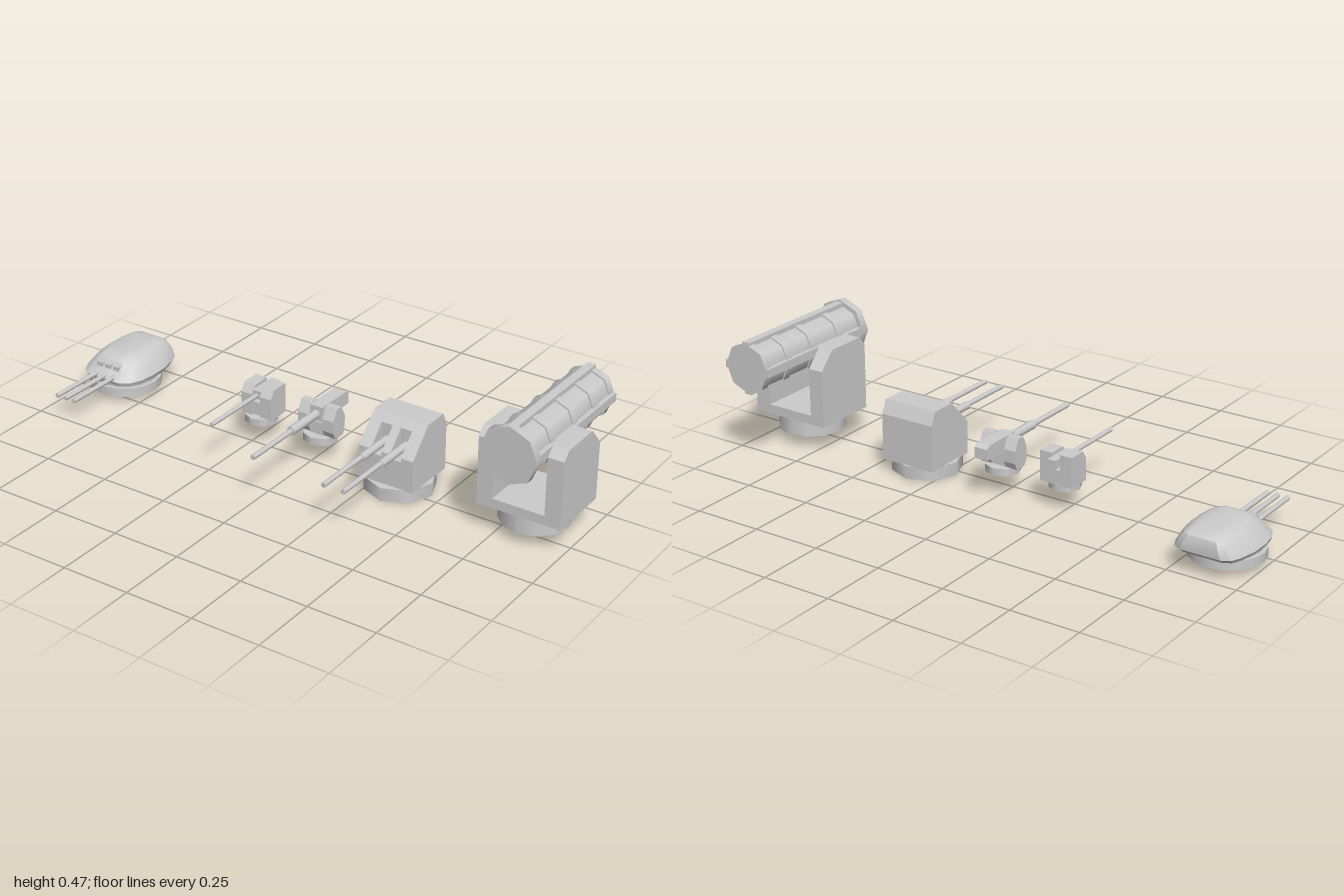
import * as THREE from 'three';
import { toCreasedNormals } from 'three/addons/utils/BufferGeometryUtils.js';

const grey = new THREE.MeshStandardMaterial({ color: 0xcccccc });

function add(group, name, geometry) {
  const mesh = new THREE.Mesh(geometry, grey);
  mesh.name = name;
  group.add(mesh);
  return mesh;
}

// Box given by its limits on each axis
function box(group, name, x0, x1, y0, y1, z0, z1) {
  const m = add(group, name, new THREE.BoxGeometry(x1 - x0, y1 - y0, z1 - z0));
  m.position.set((x0 + x1) / 2, (y0 + y1) / 2, (z0 + z1) / 2);
  return m;
}

// Upright drum
function drum(group, name, r, y0, y1, z, sides) {
  const m = add(group, name, new THREE.CylinderGeometry(r, r, y1 - y0, sides));
  m.position.set(0, (y0 + y1) / 2, z);
  return m;
}

// Cylinder lying along z
function rod(group, name, r, x, y, z0, z1, sides = 10) {
  const g = new THREE.CylinderGeometry(r, r, z1 - z0, sides).rotateX(Math.PI / 2);
  const m = add(group, name, g);
  m.position.set(x, y, (z0 + z1) / 2);
  return m;
}

// Side profile of [z, y] points, extruded from x0 to x1
function slab(group, name, profile, x0, x1) {
  const shape = new THREE.Shape(profile.map(([z, y]) => new THREE.Vector2(-z, y)));
  const g = new THREE.ExtrudeGeometry(shape, { depth: x1 - x0, bevelEnabled: false });
  const m = add(group, name, g.rotateY(Math.PI / 2));
  m.position.x = x0;
  return m;
}

// Stacked plan outlines: each layer is [y, half width, front z, back z]
function hull(layers) {
  // half outline: share of the width, and share of the way from front to back
  const half = [[0.55, 0], [0.8, 0.08], [0.95, 0.22], [1, 0.4], [0.99, 0.62], [0.88, 0.84], [0.76, 0.95], [0.55, 1]];
  const outline = [...half, ...half.map(([x, t]) => [-x, t]).reverse()];
  const n = outline.length, pos = [], index = [];
  for (const [y, w, f, b] of layers)
    for (const [x, t] of outline) pos.push(x * w, y, f + (b - f) * t);
  for (let l = 0; l < layers.length - 1; l++)
    for (let i = 0; i < n; i++) {
      const a = l * n + i, c = l * n + (i + 1) % n;
      index.push(a, c, c + n, a, c + n, a + n);
    }
  const top = (layers.length - 1) * n;
  for (let i = 1; i < n - 1; i++) {
    index.push(top, top + i, top + i + 1);
    index.push(0, i + 1, i);
  }
  const g = new THREE.BufferGeometry();
  g.setAttribute('position', new THREE.Float32BufferAttribute(pos, 3));
  g.setIndex(index);
  return toCreasedNormals(g, 0.5);
}

// Low rounded turret with three barrels
function tripleTurret() {
  const t = new THREE.Group();
  drum(t, 'baseRing', 0.13, 0.022, 0.055, -0.075, 16);
  drum(t, 'neckRing', 0.117, 0.055, 0.072, -0.075, 16);
  add(t, 'armouredHouse', hull([
    [0.07, 0.125, 0.048, -0.235],
    [0.085, 0.131, 0.053, -0.252],
    [0.115, 0.112, 0.025, -0.253],
    [0.138, 0.092, 0.003, -0.245],
    [0.151, 0.075, -0.015, -0.225],
    [0.158, 0.058, -0.035, -0.19],
  ]));
  for (const x of [-0.037, 0, 0.037]) {
    box(t, 'gunPort', x - 0.013, x + 0.013, 0.083, 0.13, -0.04, 0.026);
    rod(t, 'barrel', 0.0085, x, 0.094, 0, 0.262);
  }
  return t;
}

// Small single gun between two blocks
function lightMount() {
  const t = new THREE.Group();
  drum(t, 'base', 0.057, 0.075, 0.102, -0.032, 8);
  const cheek = [[-0.09, 0.1], [-0.002, 0.1], [-0.002, 0.18], [-0.022, 0.21], [-0.09, 0.21]];
  slab(t, 'leftCheek', cheek, 0.016, 0.062);
  slab(t, 'rightCheek', cheek, -0.062, -0.016);
  box(t, 'cradle', -0.016, 0.016, 0.1, 0.15, -0.085, -0.01);
  box(t, 'breech', -0.016, 0.016, 0.167, 0.198, -0.117, -0.005);
  rod(t, 'barrel', 0.008, 0, 0.18, -0.01, 0.252);
  return t;
}

// Single gun with a long breech and faceted cheeks
function mediumMount() {
  const t = new THREE.Group();
  drum(t, 'base', 0.062, 0.075, 0.102, -0.04, 8);
  const cheek = [[-0.065, 0.1], [-0.02, 0.1], [-0.008, 0.125], [-0.008, 0.17],
    [-0.028, 0.21], [-0.055, 0.21], [-0.076, 0.17], [-0.076, 0.125]];
  slab(t, 'leftCheek', cheek, 0.028, 0.073);
  slab(t, 'rightCheek', cheek, -0.073, -0.028);
  box(t, 'pedestal', -0.028, 0.028, 0.1, 0.148, -0.065, -0.015);
  const breech = [[-0.172, 0.16], [-0.01, 0.155], [-0.01, 0.21], [-0.155, 0.21], [-0.172, 0.2]];
  slab(t, 'breech', breech, -0.025, 0.025);
  rod(t, 'barrelJacket', 0.016, 0, 0.18, -0.02, 0.14);
  rod(t, 'barrel', 0.0095, 0, 0.18, 0.13, 0.355);
  return t;
}

// Boxy gunhouse with two slots in its sloped face
function twinTurret() {
  const t = new THREE.Group();
  drum(t, 'base', 0.125, 0, 0.048, -0.03, 8);
  const front = [[0.064, 0.046], [0.064, 0.165]];
  const roof = [[-0.027, 0.262], [-0.122, 0.262], [-0.144, 0.215], [-0.144, 0.046]];
  const full = [...front, ...roof];
  const slotted = [[0.064, 0.046], [0.064, 0.15], [-0.003, 0.15], [-0.003, 0.235], ...roof];
  const edges = [-0.105, -0.059, -0.016, 0.016, 0.059, 0.105];
  for (let i = 0; i < 5; i++)
    slab(t, 'gunhouse', i % 2 ? slotted : full, edges[i], edges[i + 1]);
  for (const x of [-0.0375, 0.0375]) {
    rod(t, 'barrelJacket', 0.014, x, 0.178, -0.02, 0.156);
    rod(t, 'barrel', 0.009, x, 0.18, 0.15, 0.374);
  }
  return t;
}

// Large banded launch tube held in a fork
function tubeLauncher() {
  const t = new THREE.Group();
  drum(t, 'base', 0.121, 0.045, 0.11, -0.036, 12);
  box(t, 'forkFloor', -0.152, 0.152, 0.106, 0.14, -0.157, 0.083);
  const arm = [[0.083, 0.106], [0.083, 0.35], [0.055, 0.38], [-0.098, 0.38], [-0.157, 0.316], [-0.157, 0.106]];
  slab(t, 'leftArm', arm, 0.094, 0.152);
  slab(t, 'rightArm', arm, -0.152, -0.094);
  const y = 0.365;
  rod(t, 'launchTube', 0.085, 0, y, -0.37, 0.16, 8);
  rod(t, 'muzzleRing', 0.103, 0, y, 0.138, 0.168, 8);
  for (const z of [0.018, -0.128, -0.259, -0.373])
    rod(t, 'band', 0.091, 0, y, z, z + 0.029, 8);
  // Rails along the top, bottom and sides of the tube
  for (let i = 0; i < 4; i++) {
    const rail = new THREE.BoxGeometry(0.03, 0.028, 0.51);
    rail.translate(0, 0.081, -0.117).rotateZ(i * Math.PI / 2);
    add(t, 'rail', rail).position.y = y;
  }
  return t;
}

export function createModel() {
  const model = new THREE.Group();
  model.name = 'turretSet';
  const parts = [
    ['tripleTurret', tripleTurret(), -0.87],
    ['lightMount', lightMount(), -0.232],
    ['mediumMount', mediumMount(), 0.0125],
    ['twinTurret', twinTurret(), 0.34],
    ['tubeLauncher', tubeLauncher(), 0.848],
  ];
  for (const [name, group, x] of parts) {
    group.name = name;
    group.position.x = x;
    model.add(group);
  }
  return model;
}
